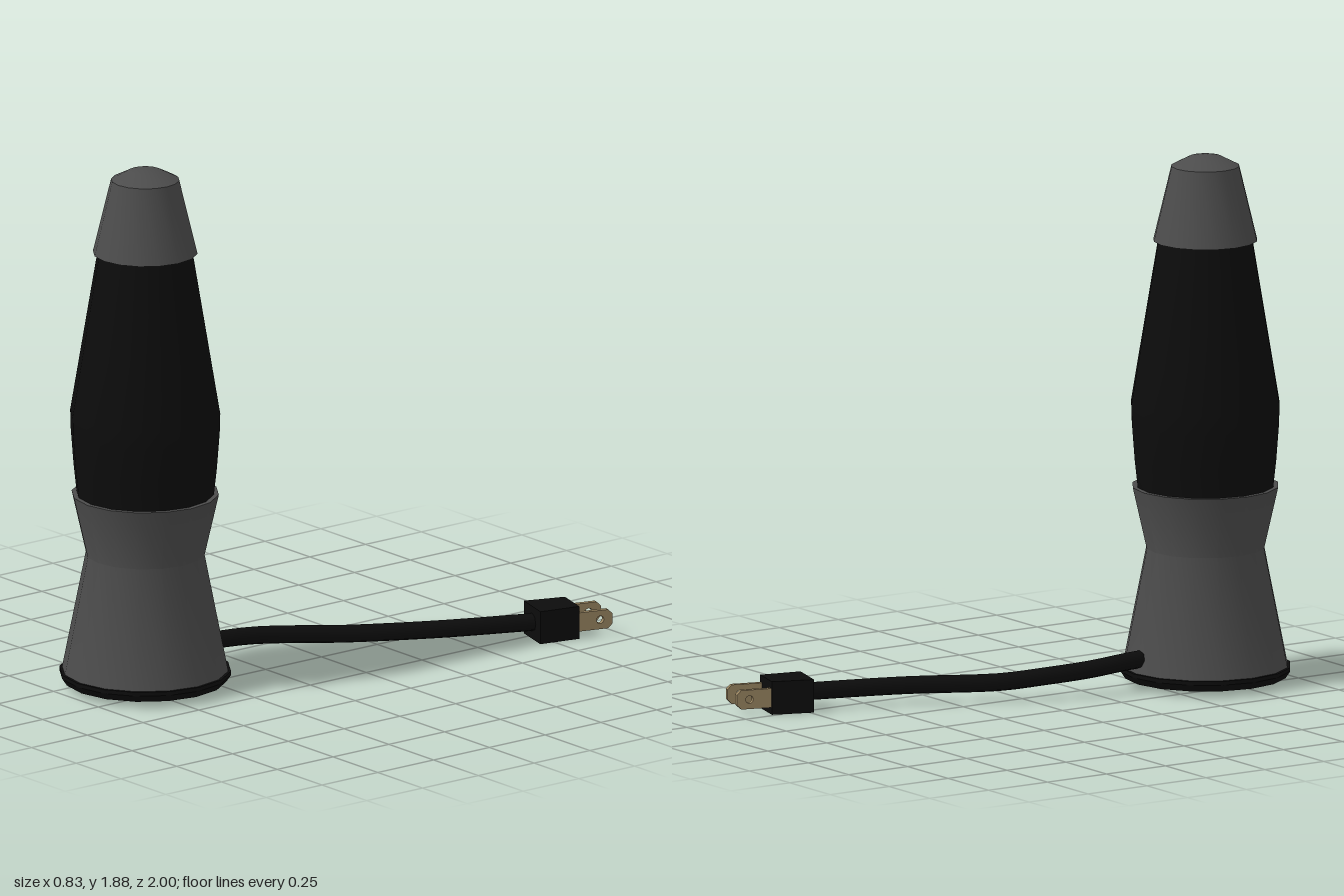
import * as THREE from 'three';
import { toCreasedNormals } from 'three/addons/utils/BufferGeometryUtils.js';

const paint = (name, color) => {
  const m = new THREE.MeshStandardMaterial({ color });
  m.name = name;
  return m;
};

export function createModel() {
  const grey = paint('greyMetal', 0x4c4c4c);
  const black = paint('blackPlastic', 0x0c0c0c);
  const brass = paint('brass', 0x9a8662);

  const model = new THREE.Group();
  model.name = 'lamp';
  const add = (parent, name, geometry, material) => {
    const mesh = new THREE.Mesh(geometry, material);
    mesh.name = name;
    parent.add(mesh);
    return mesh;
  };

  // Turned lamp parts, profiles run from bottom to top as [radius, height]
  const lamp = new THREE.Group();
  lamp.name = 'lampBody';
  lamp.position.set(-0.112, 0, 0.7);
  model.add(lamp);
  const turned = (name, profile, material) => add(lamp, name, toCreasedNormals(
    new THREE.LatheGeometry(profile.map(([r, y]) => new THREE.Vector2(r, y)), 16), 0.5), material);

  turned('undersideDisc', [[0, 0.022], [0.215, 0.022], [0.215, 0.03]], grey);
  turned('baseRim', [[0, 0.025], [0.285, 0.025], [0.302, 0.05], [0.302, 0.064], [0.28, 0.064]], black);
  turned('base', [[0.293, 0.06], [0.209, 0.485], [0.259, 0.705], [0.235, 0.705]], grey);
  turned('bottle', [[0.241, 0.7], [0.252, 0.8], [0.262, 0.93], [0.264, 1.0], [0.166, 1.59]], black);
  turned('cap', [[0.16, 1.58], [0.184, 1.58], [0.12, 1.845], [0.057, 1.877], [0, 1.88]], grey);

  // Power cord
  const path = new THREE.CatmullRomCurve3([
    [-0.11, 0.115, 0.48], [-0.107, 0.112, 0.38], [-0.1, 0.1, 0.22], [-0.05, 0.085, 0.05],
    [0.005, 0.073, -0.09], [0.16, 0.07, -0.39], [0.29, 0.065, -0.73],
  ].map((p) => new THREE.Vector3(...p)));
  add(model, 'cord', new THREE.TubeGeometry(path, 24, 0.032, 8), black);

  // Plug, pointing along its own -z
  const plug = new THREE.Group();
  plug.name = 'plug';
  plug.position.set(0.304, 0.063, -0.79);
  plug.rotation.y = -0.28;
  model.add(plug);

  // Housing narrows slightly towards the blades
  const housing = new THREE.BoxGeometry(0.15, 0.118, 0.152);
  const pos = housing.attributes.position;
  for (let i = 0; i < pos.count; i++) {
    if (pos.getZ(i) < 0) pos.setX(i, pos.getX(i) * 0.87);
  }
  housing.computeVertexNormals();
  add(plug, 'plugHousing', housing, black);

  // Flat blades with clipped tips and a hole
  const outline = new THREE.Shape([
    [0, -0.034], [0.135, -0.034], [0.152, -0.018], [0.152, 0.018], [0.135, 0.034], [0, 0.034],
  ].map(([x, y]) => new THREE.Vector2(x, y)));
  outline.holes.push(new THREE.Path().absarc(0.105, 0, 0.014, 0, Math.PI * 2, true));
  const blade = new THREE.ExtrudeGeometry(outline, { depth: 0.018, bevelEnabled: false, curveSegments: 8 });
  blade.translate(0, 0, -0.009).rotateY(Math.PI / 2);
  for (const side of [-1, 1]) {
    add(plug, side < 0 ? 'rightBlade' : 'leftBlade', blade, brass).position.set(side * 0.052, 0, -0.052);
  }

  return model;
}
